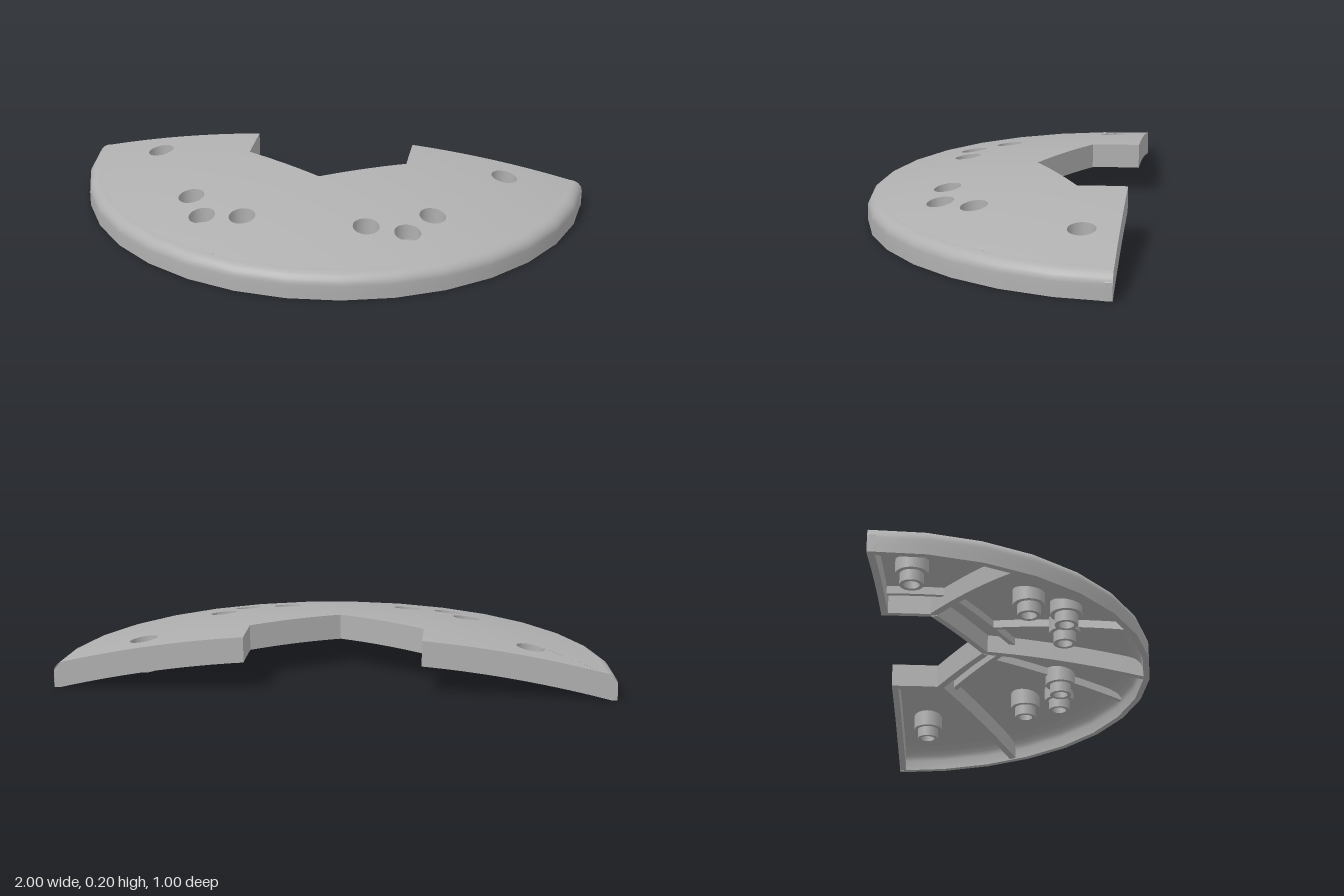
import * as THREE from 'three';
import { mergeGeometries } from 'three/addons/utils/BufferGeometryUtils.js';

// Coordinates are relative to the centre of the half disc; the group is shifted at the end.
const R = 1, EDGE = 0.95, SEGS = 16, SKIRT = 0.093;
const APOTHEM = 0.315, CORNER = 0.364;
const dome = (x, z) => 0.2125 - 0.125 * (x * x + z * z);
const SHOULDER = 0.055;

// Height of the outside, including the rounded shoulder at the rim
function topY(x, z) {
  const r = Math.hypot(x, z);
  if (r <= EDGE) return dome(x, z);
  const k = Math.min(1, (r - EDGE) / (R - EDGE));
  return SHOULDER + (dome(EDGE, 0) - SHOULDER) * Math.sqrt(1 - k * k);
}

const polar = (r, deg) => {
  const a = THREE.MathUtils.degToRad(deg);
  return [r * Math.cos(a), r * Math.sin(a)];
};

// Screw positions on one half, mirrored for the other
const SCREWS = [[0.235, 0.67], [0.39, 0.67], [0.465, 0.535], [0.697, 0.13]]
  .flatMap(([x, z]) => [[x, z], [-x, z]]);
const BORE = 0.05;

// Curved sheet: plan shape with holes, split finely and lifted onto the dome
function sheetGeometry(drop, flip) {
  const outline = [];
  for (let i = 0; i <= SEGS; i++) outline.push(polar(EDGE, (180 * i) / SEGS));
  outline.push([-APOTHEM, 0], polar(CORNER, 150), polar(CORNER, 90), polar(CORNER, 30), [APOTHEM, 0]);
  const shape = new THREE.Shape(outline.map(([x, z]) => new THREE.Vector2(x, -z)));
  for (const [x, z] of SCREWS) {
    const hole = new THREE.Path();
    hole.absarc(x, -z, BORE, 0, Math.PI * 2);
    shape.holes.push(hole);
  }
  const flat = new THREE.ShapeGeometry(shape, 12).toNonIndexed().attributes.position;
  const pos = [], nor = [];
  const split = (tri) => {
    const len = [0, 1, 2].map((i) => tri[i].distanceTo(tri[(i + 1) % 3]));
    const m = len.indexOf(Math.max(...len));
    if (len[m] > 0.14) {
      const a = tri[m], b = tri[(m + 1) % 3], c = tri[(m + 2) % 3];
      const mid = a.clone().add(b).multiplyScalar(0.5);
      split([a, mid, c]);
      split([mid, b, c]);
      return;
    }
    for (const p of flip ? [tri[0], tri[2], tri[1]] : tri) {
      pos.push(p.x, dome(p.x, p.y) - drop, -p.y);
      const n = new THREE.Vector3(0.25 * p.x, 1, -0.25 * p.y).normalize().multiplyScalar(flip ? -1 : 1);
      nor.push(n.x, n.y, n.z);
    }
  };
  for (let i = 0; i < flat.count; i += 3) {
    split([0, 1, 2].map((k) => new THREE.Vector2(flat.getX(i + k), flat.getY(i + k))));
  }
  const g = new THREE.BufferGeometry();
  g.setAttribute('position', new THREE.Float32BufferAttribute(pos, 3));
  g.setAttribute('normal', new THREE.Float32BufferAttribute(nor, 3));
  return g;
}

// Upright strip from a to b whose top and bottom follow the dome
function wallGeometry([ax, az], [bx, bz], thick, offset, gap, depth) {
  const L = Math.hypot(bx - ax, bz - az), dx = (bx - ax) / L, dz = (bz - az) / L;
  const g = new THREE.BoxGeometry(L, 1, thick, Math.ceil(L / 0.025), 1, 1);
  const p = g.attributes.position;
  for (let i = 0; i < p.count; i++) {
    const u = p.getX(i) + L / 2, v = p.getZ(i) + thick / 2 + offset;
    const x = ax + dx * u - dz * v, z = az + dz * u + dx * v;
    const y = p.getY(i) > 0 ? topY(x, z) - gap : Math.max(0, dome(x, z) - depth);
    p.setXYZ(i, x, y, z);
  }
  g.computeVertexNormals();
  return g;
}

// Half-turn lathe for the rim
const halfLathe = (pts) => new THREE.LatheGeometry(
  pts.map(([r, y]) => new THREE.Vector2(r, y)), SEGS, -Math.PI / 2, Math.PI);

// Stepped screw boss with a counterbore, its top edge cut to the dome
function bossGeometry(cx, cz) {
  const TOP = 1;
  const profile = [[BORE, TOP], [BORE, 0.085], [0.028, 0.085], [0.028, 0.035],
    [0.042, 0.035], [0.042, 0.075], [0.058, 0.075], [0.058, TOP]];
  const rings = [];
  for (let i = 0; i + 1 < profile.length; i++) {
    rings.push(new THREE.LatheGeometry(
      [profile[i], profile[i + 1]].map(([r, y]) => new THREE.Vector2(r, y)), 24));
  }
  const g = mergeGeometries(rings);
  const p = g.attributes.position;
  for (let i = 0; i < p.count; i++) {
    const x = p.getX(i) + cx, z = p.getZ(i) + cz;
    const outer = Math.hypot(p.getX(i), p.getZ(i)) > 0.054;
    const y = p.getY(i) > 0.5 ? dome(x, z) - (outer ? 0.01 : 0) : p.getY(i);
    p.setXYZ(i, x, y, z);
  }
  return g;
}

export function createModel() {
  const group = new THREE.Group();
  const grey = new THREE.MeshStandardMaterial({ color: 0xb0b0b0, side: THREE.DoubleSide });
  grey.name = 'plainGrey';
  const add = (name, geometry) => {
    const mesh = new THREE.Mesh(geometry, grey);
    mesh.name = name;
    mesh.position.z = -0.5;
    group.add(mesh);
  };

  // Shell
  add('topSheet', sheetGeometry(0, false));
  add('undersideSheet', sheetGeometry(0.02, true));

  // Rounded rim: outside, lower lip, inside
  const outer = [[R, 0], [R, 0.03]];
  for (let i = 0; i <= 6; i++) {
    const a = (Math.PI / 2) * (i / 6);
    outer.push([EDGE + (R - EDGE) * Math.cos(a), SHOULDER + (dome(EDGE, 0) - SHOULDER) * Math.sin(a)]);
  }
  add('rimOutside', halfLathe(outer));
  add('rimLip', halfLathe([[0.977, 0], [R, 0]]));
  add('rimInside', halfLathe([[0.92, 0.087], [0.95, 0.076], [0.967, 0.06], [0.975, 0.04], [0.977, 0]]));

  // Straight back walls and the notch walls
  add('backWallLeft', wallGeometry([APOTHEM, 0], [0.999, 0], 0.025, 0, 0.0005, SKIRT));
  add('backWallRight', wallGeometry([-0.999, 0], [-APOTHEM, 0], 0.025, 0, 0.0005, SKIRT));
  const notch = [[APOTHEM, 0], polar(CORNER, 30), polar(CORNER, 90), polar(CORNER, 150), [-APOTHEM, 0]];
  for (let i = 0; i < 4; i++) {
    add('notchWall', wallGeometry(notch[i], notch[i + 1], 0.025, -0.025, 0.0005, SKIRT));
  }

  // Main ribs from the notch corners to the rim
  for (const deg of [30, 90, 150]) {
    add('mainRib', wallGeometry(polar(0.37, deg), polar(0.98, deg), 0.028, -0.014, 0.012, 0.09));
  }

  // Shallow ribs running alongside the notch
  const r2 = 0.41 / Math.cos(Math.PI / 6);
  const inner = [[0.41, 0], polar(r2, 30), polar(r2, 90), polar(r2, 150), [-0.41, 0]];
  for (let i = 0; i < 4; i++) {
    add('notchRib', wallGeometry(inner[i], inner[i + 1], 0.02, -0.02, 0.012, 0.05));
  }

  // Small radial ribs, interrupted by the screw bosses
  for (const deg of [70.7, 109.3]) {
    for (const [a, b] of [[0.42, 0.658], [0.762, 0.965]]) {
      add('smallRib', wallGeometry(polar(a, deg), polar(b, deg), 0.02, -0.01, 0.012, 0.05));
    }
  }

  // Screw bosses
  for (const [x, z] of SCREWS) add('screwBoss', bossGeometry(x, z));

  return group;
}
